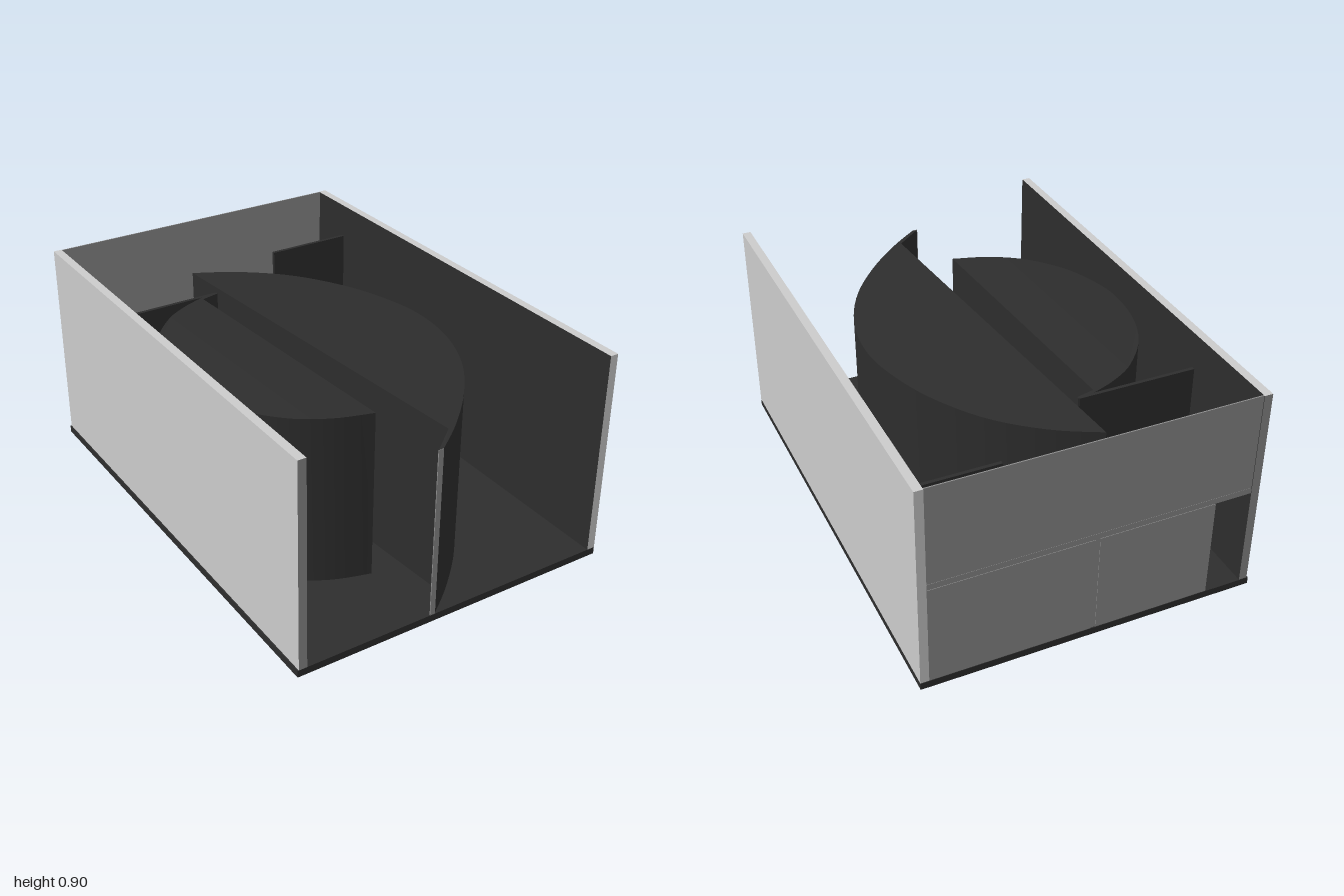
import * as THREE from 'three';
import { toCreasedNormals } from 'three/addons/utils/BufferGeometryUtils.js';

const FLOOR = 0.03, INNER_TOP = 0.75, WALL_TOP = 0.9;

export function createModel() {
  const model = new THREE.Group();
  model.name = 'openBoxWithCurvedPartitions';
  const grey = new THREE.MeshStandardMaterial({ color: 0xcccccc });
  const mid = new THREE.MeshStandardMaterial({ color: 0x8c8c8c });
  const dark = new THREE.MeshStandardMaterial({ color: 0x2d2d2d });

  function add(name, geometry, material) {
    const mesh = new THREE.Mesh(geometry, material);
    mesh.name = name;
    model.add(mesh);
  }

  // box given by its limits on each axis
  function box(name, [x0, x1], [y0, y1], [z0, z1], material) {
    const g = new THREE.BoxGeometry(x1 - x0, y1 - y0, z1 - z0);
    g.translate((x0 + x1) / 2, (y0 + y1) / 2, (z0 + z1) / 2);
    add(name, g, material);
  }

  // upright prism from a plan outline in x, z: a smooth arc closed by straight corners
  function prism(name, arc, corners) {
    const curve = new THREE.SplineCurve(arc.map(([x, z]) => new THREE.Vector2(x, z)));
    const outline = curve.getPoints(48).concat(corners.map(([x, z]) => new THREE.Vector2(x, z)));
    let g = new THREE.ExtrudeGeometry(new THREE.Shape(outline), {
      depth: INNER_TOP - FLOOR, bevelEnabled: false,
    });
    g.rotateX(Math.PI / 2);
    g.translate(0, INNER_TOP, 0);
    g = toCreasedNormals(g, 0.4);
    add(name, g, dark);
  }

  // floor slab
  box('floor', [-0.695, 0.695], [0, FLOOR], [-1, 1], dark);

  // side walls, dark on their inner faces (+x, -x, +y, -y, +z, -z)
  box('leftWall', [0.66, 0.695], [FLOOR, WALL_TOP], [-0.998, 1],
    [grey, dark, grey, grey, grey, grey]);
  box('rightWall', [-0.69, -0.655], [FLOOR, WALL_TOP], [-0.998, 1],
    [dark, grey, grey, grey, mid, mid]);

  // thin back wall: upper panel, two lower panels and a doorway near the right wall
  box('upperBackPanel', [-0.655, 0.66], [0.48, WALL_TOP], [-0.995, -0.99], mid);
  box('backRail', [-0.655, 0.66], [0.46, 0.485], [-0.996, -0.987], mid);
  box('lowerBackPanelLeft', [0.005, 0.66], [FLOOR, 0.46], [-0.998, -0.992], mid);
  box('lowerBackPanelRight', [-0.5, -0.015], [FLOOR, 0.46], [-0.998, -0.992], mid);
  box('backPost', [-0.015, 0.005], [FLOOR, 0.46], [-0.996, -0.987], mid);

  // straight dividers reaching in from the side walls
  box('leftDivider', [0.28, 0.66], [FLOOR, INNER_TOP], [-0.795, -0.78], dark);
  box('rightDivider', [-0.655, -0.155], [FLOOR, INNER_TOP], [-0.547, -0.532], dark);

  // large curved block with a thin tail reaching the front edge
  prism('largeCurvedBlock',
    [[-0.14, -0.78], [0.04, -0.68], [0.22, -0.52], [0.36, -0.3], [0.44, -0.07], [0.462, 0.12],
      [0.43, 0.33], [0.34, 0.54], [0.2, 0.73], [0.04, 0.89], [-0.095, 0.998]],
    [[-0.117, 0.998], [0, 0.9]]);

  // small curved block beside the right wall
  prism('smallCurvedBlock',
    [[-0.155, 0.67], [-0.31, 0.62], [-0.45, 0.53], [-0.57, 0.38], [-0.635, 0.21], [-0.653, 0.07],
      [-0.63, -0.11], [-0.56, -0.28], [-0.44, -0.42], [-0.33, -0.49], [-0.23, -0.53]],
    [[-0.15, -0.545], [-0.15, -0.533], [-0.228, -0.515]]);

  // pale end of the large block's tail
  box('tailEnd', [-0.117, -0.095], [FLOOR, INNER_TOP], [0.996, 1], mid);

  return model;
}
